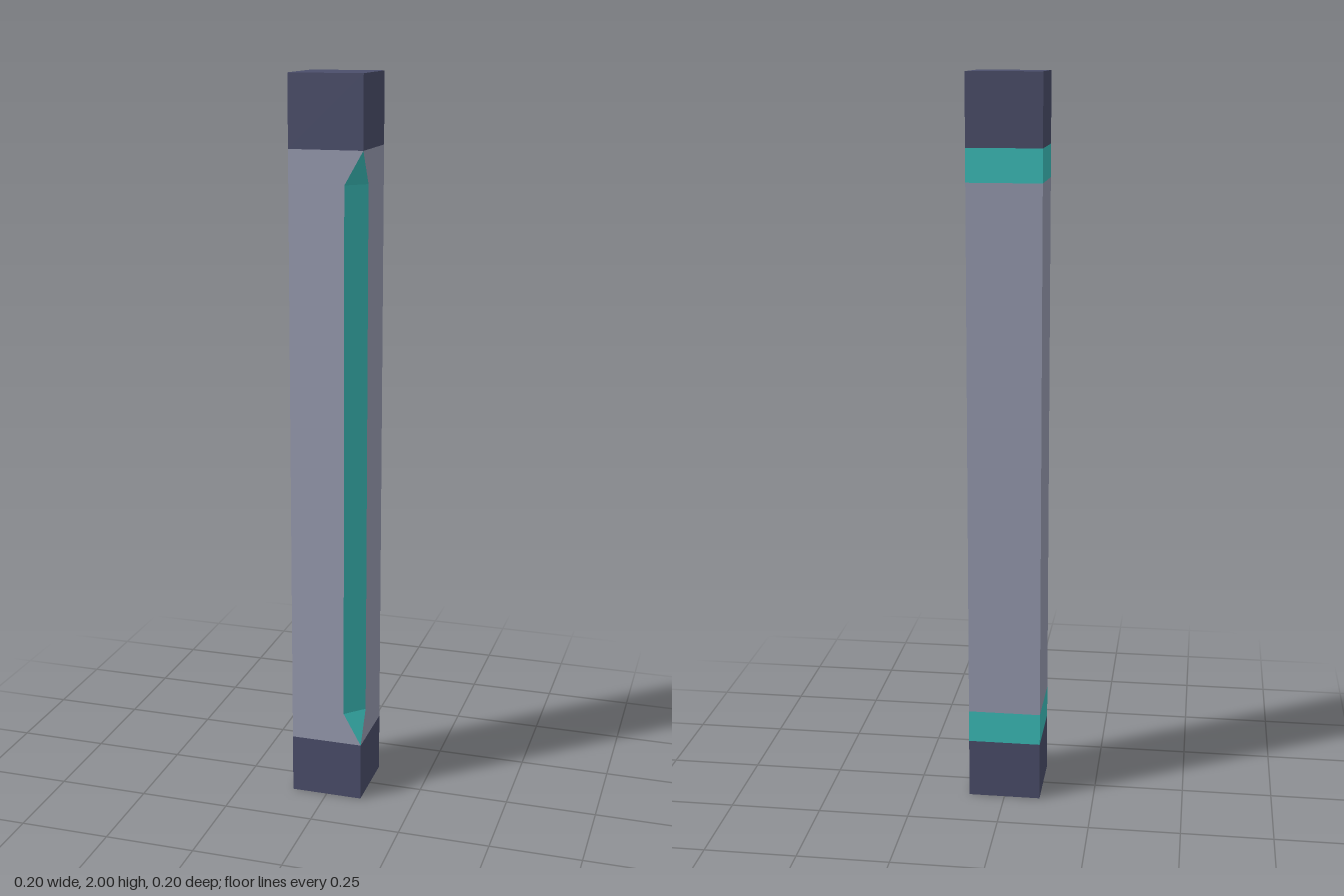
import * as THREE from 'three';

const HALF = 0.1;

// Plan outline, with the front right corner cut back by c
const outline = (c) => [
  [-HALF, HALF], [HALF - c, HALF], [HALF, HALF - c], [HALF, -HALF], [-HALF, -HALF],
];

// Levels of the shaft: height and depth of the corner cut
const levels = [[0.165, 0], [0.255, 0.05], [1.722, 0.05], [1.81, 0]];

export function createModel() {
  const model = new THREE.Group();
  const mat = (name, color) => {
    const m = new THREE.MeshStandardMaterial({ color });
    m.name = name;
    return m;
  };
  const dark = mat('dark slate', 0x4c4f6c);
  const grey = mat('pale grey', 0x999db2);
  const teal = mat('teal', 0x3cc0bc);

  const add = (geometry, material, name) => {
    const mesh = new THREE.Mesh(geometry, material);
    mesh.name = name;
    model.add(mesh);
    return mesh;
  };

  // Solid end blocks
  const endBlock = (y0, y1, name) => {
    const g = new THREE.BoxGeometry(2 * HALF, y1 - y0, 2 * HALF);
    add(g, dark, name).position.y = (y0 + y1) / 2;
  };
  endBlock(0, levels[0][0], 'baseBlock');
  endBlock(levels[3][0], 2, 'topBlock');

  // Shaft walls, sorted into plain walls, the corner inlay and the back bands
  const parts = { shaftWalls: [], cornerInlay: [], accentBands: [] };
  for (let k = 0; k < 3; k++) {
    const [lower, upper] = [levels[k], levels[k + 1]].map(([y, c]) =>
      outline(c).map(([x, z]) => new THREE.Vector3(x, y, z)));
    for (let side = 0; side < 5; side++) {
      const next = (side + 1) % 5;
      const [a, b, c, d] = [lower[side], lower[next], upper[next], upper[side]];
      const isBand = side > 2 && k !== 1; // back and left walls, at both ends
      const part = side === 1 ? 'cornerInlay' : isBand ? 'accentBands' : 'shaftWalls';
      if (!a.equals(b)) parts[part].push(a, b, c);
      if (!c.equals(d)) parts[part].push(a, c, d);
    }
  }
  for (const [name, points] of Object.entries(parts)) {
    const g = new THREE.BufferGeometry().setFromPoints(points);
    g.computeVertexNormals();
    add(g, name === 'shaftWalls' ? grey : teal, name);
  }

  return model;
}
